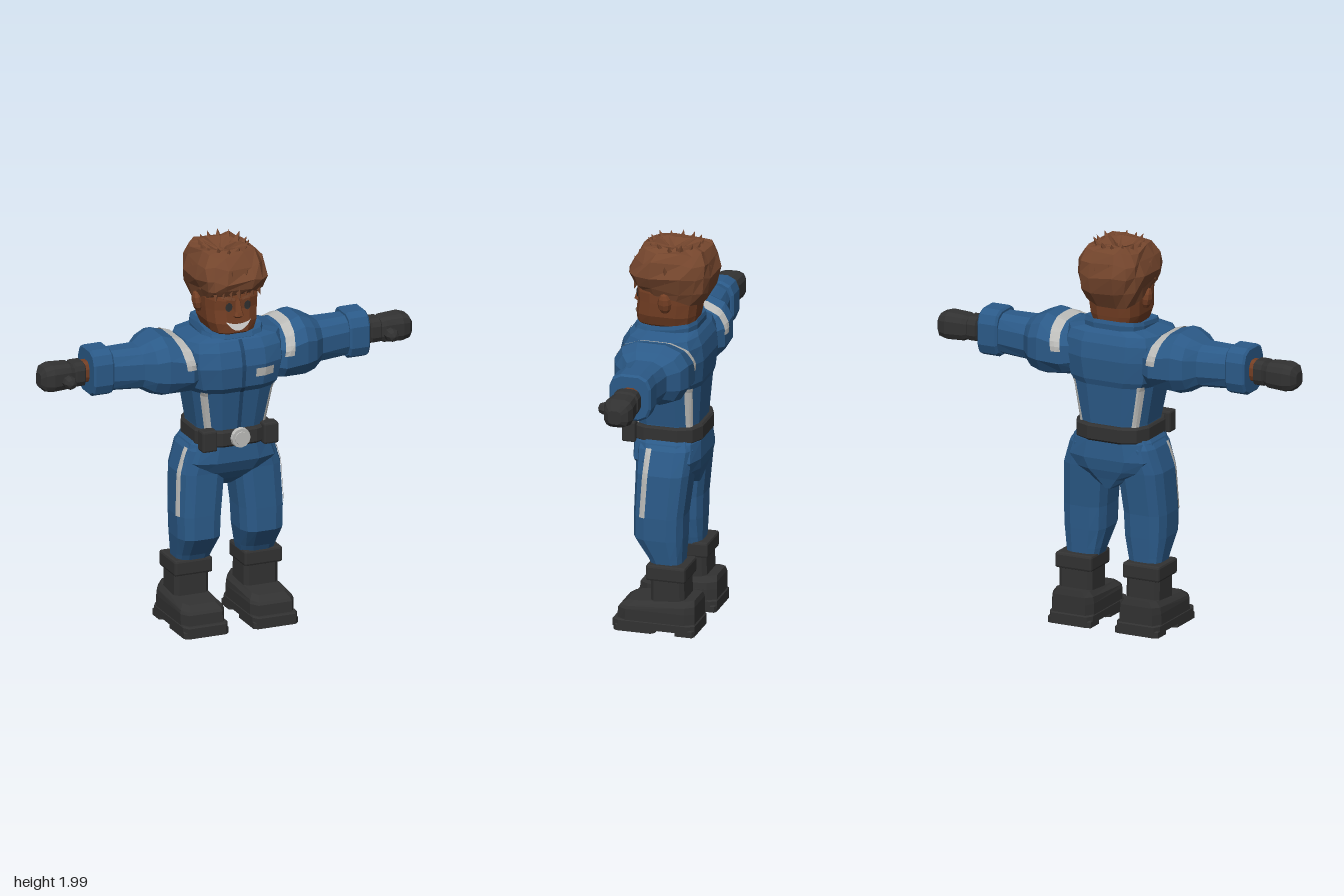
import * as THREE from 'three';
import { RoundedBoxGeometry } from 'three/addons/geometries/RoundedBoxGeometry.js';

const paint = (name, color, side = THREE.FrontSide) => {
  const m = new THREE.MeshStandardMaterial({ color, side });
  m.name = name;
  return m;
};

let seed = 7;
const rand = () => ((seed = (seed * 16807) % 2147483647) / 2147483647) * 2 - 1;

// Faceted copy of a geometry
function facet(geo) {
  const g = geo.index ? geo.toNonIndexed() : geo;
  g.computeVertexNormals();
  return g;
}

// Copy reflected across x = 0, with the corner order restored
function mirror(geo) {
  const g = geo.clone().scale(-1, 1, 1), p = g.attributes.position;
  const a = new THREE.Vector3(), b = new THREE.Vector3();
  for (let i = 0; i < p.count; i += 3) {
    a.fromBufferAttribute(p, i + 1);
    b.fromBufferAttribute(p, i + 2);
    p.setXYZ(i + 1, b.x, b.y, b.z);
    p.setXYZ(i + 2, a.x, a.y, a.z);
  }
  g.computeVertexNormals();
  return g;
}

// Upright loft; each section is [y, centre x, half width, back z, front z, tilt]
function loft(sections, n = 12, pow = 0.6, jitter = 0) {
  const pos = [], idx = [], k = 1 / Math.cos(Math.PI / n) ** pow;
  const bend = v => Math.sign(v) * Math.abs(v) ** pow * k;
  for (const [y, cx, hx, z0, z1, tilt = 0] of sections) {
    for (let j = 0; j < n; j++) {
      const t = ((j + 0.5) / n) * Math.PI * 2;
      const z = (z0 + z1) / 2 + bend(Math.sin(t)) * (z1 - z0) / 2;
      pos.push(cx + bend(Math.cos(t)) * hx + rand() * jitter, y + tilt * z + rand() * jitter, z + rand() * jitter);
    }
  }
  const last = sections.length - 1;
  for (let i = 0; i < last; i++) for (let j = 0; j < n; j++) {
    const a = i * n + j, b = i * n + (j + 1) % n;
    idx.push(a, a + n, b, b, a + n, b + n);
  }
  [0, last].forEach((s, top) => {
    const [y, cx, , z0, z1, tilt = 0] = sections[s], c = pos.length / 3, z = (z0 + z1) / 2;
    pos.push(cx, y + tilt * z, z);
    for (let j = 0; j < n; j++) {
      const a = s * n + j, b = s * n + (j + 1) % n;
      idx.push(c, top ? b : a, top ? a : b);
    }
  });
  const g = new THREE.BufferGeometry();
  g.setAttribute('position', new THREE.Float32BufferAttribute(pos, 3));
  g.setIndex(idx);
  return facet(g);
}

// Sideways loft toward +x; each section is [x, centre y, half height, back z, front z]
const armLoft = (sections, pow = 0.75) =>
  loft(sections.map(([x, cy, ...rest]) => [x, -cy, ...rest]), 12, pow).rotateZ(-Math.PI / 2);

// Thin patch laid on the targets by casting a grid of rays
function decal(targets, nu, nv, ray, lift = 0.006) {
  const g = new THREE.PlaneGeometry(1, 1, nu, nv), p = g.attributes.position, caster = new THREE.Raycaster();
  const point = new THREE.Vector3();
  for (let i = 0; i < p.count; i++) {
    const [o, d] = ray(p.getX(i) + 0.5, p.getY(i) + 0.5);
    const dir = new THREE.Vector3(...d).normalize();
    caster.set(new THREE.Vector3(...o), dir);
    const hit = caster.intersectObjects(targets, false)[0];
    if (hit) point.copy(hit.point).addScaledVector(dir, -lift);
    p.setXYZ(i, point.x, point.y, point.z);
  }
  return facet(g);
}
const mix = THREE.MathUtils.lerp;

export function createModel() {
  const root = new THREE.Group();
  root.name = 'suitedFigure';
  const blue = paint('suitBlue', 0x2b5a88), seam = paint('seamBlue', 0x1f456b, THREE.DoubleSide);
  const black = paint('bootBlack', 0x323232, THREE.DoubleSide), skin = paint('skinBrown', 0x743f24);
  const hairMat = paint('hairBrown', 0x75462d, THREE.DoubleSide);
  const silver = paint('reflectiveGrey', 0xbdbdba, THREE.DoubleSide), white = paint('teethWhite', 0xe6e6e4, THREE.DoubleSide);

  const add = (name, geo, mat) => {
    const m = new THREE.Mesh(geo, mat);
    m.name = name;
    root.add(m);
    return m;
  };
  const pair = (name, geo, mat) => {
    const g = facet(geo);
    add(name + 'Right', mirror(g), mat);
    return add(name + 'Left', g, mat);
  };

  // Jacket, collar and hips
  const torso = add('torso', loft([
    [0.98, 0, 0.18, -0.16, 0.15], [1.06, 0, 0.185, -0.165, 0.165], [1.26, 0, 0.22, -0.18, 0.2],
    [1.29, 0, 0.24, -0.19, 0.222], [1.4, 0, 0.265, -0.2, 0.235], [1.48, 0, 0.265, -0.19, 0.215],
    [1.525, 0, 0.25, -0.17, 0.185], [1.55, 0, 0.15, -0.15, 0.15]]), blue);
  add('collar', loft([[1.5, 0, 0.16, -0.15, 0.17, -0.1], [1.555, 0, 0.165, -0.155, 0.175, -0.12],
    [1.575, 0, 0.16, -0.15, 0.165, -0.12], [1.55, 0, 0.12, -0.12, 0.13, -0.12]]), blue);
  const hips = add('hips', loft([
    [0.722, 0, 0.03, -0.145, 0.03], [0.775, 0, 0.12, -0.16, 0.1], [0.82, 0, 0.2, -0.175, 0.135],
    [0.88, 0, 0.25, -0.185, 0.165], [0.97, 0, 0.215, -0.18, 0.165], [1.0, 0, 0.19, -0.17, 0.16]]), blue);

  // Belt, pouches and round buckle
  add('belt', loft([[0.97, 0, 0.195, -0.18, 0.18], [0.98, 0, 0.202, -0.188, 0.188],
    [1.045, 0, 0.202, -0.188, 0.188], [1.055, 0, 0.195, -0.18, 0.18]]), black);
  pair('beltPouch', new RoundedBoxGeometry(0.08, 0.11, 0.07, 1, 0.01).translate(0.165, 1.015, 0.165), black);
  const disc = (r, z, d) => facet(new THREE.CylinderGeometry(r * 0.93, r, d, 12).rotateX(Math.PI / 2).translate(0, 1.015, z));
  add('buckle', disc(0.053, 0.195, 0.02), silver);
  add('buckleFace', disc(0.036, 0.205, 0.008), silver);

  // Legs
  const leg = pair('leg', loft([
    [0.33, 0.175, 0.085, -0.115, 0.035], [0.38, 0.172, 0.095, -0.117, 0.06], [0.48, 0.168, 0.113, -0.122, 0.13],
    [0.6, 0.167, 0.118, -0.125, 0.13], [0.82, 0.15, 0.124, -0.15, 0.125], [0.94, 0.12, 0.115, -0.16, 0.13],
    [1.0, 0.1, 0.09, -0.14, 0.12]]), blue);

  // Boots
  pair('bootCuff', new RoundedBoxGeometry(0.205, 0.082, 0.205, 1, 0.012).translate(0.188, 0.313, -0.052), black);
  pair('bootShaft', loft([[0.12, 0.187, 0.092, -0.145, 0.03], [0.29, 0.187, 0.092, -0.14, 0.03]], 8, 0.3), black);
  pair('bootFoot', loft([[0.04, 0.187, 0.117, -0.2, 0.2], [0.115, 0.187, 0.117, -0.2, 0.195],
    [0.14, 0.187, 0.112, -0.2, 0.185, -0.06], [0.166, 0.187, 0.09, -0.195, 0.15, -0.08]], 8, 0.3), black);
  const soles = [['bootSole', 0.018, 0.055, -0.205, 0.22], ['soleToe', 0, 0.03, 0, 0.215], ['soleHeel', 0, 0.03, -0.203, -0.1]];
  for (const [name, y0, y1, z0, z1] of soles)
    pair(name, loft([[y0, 0.187, 0.12, z0, z1], [y1, 0.187, 0.12, z0, z1], [y1 + 0.006, 0.187, 0.115, z0 + 0.005, z1 - 0.005]], 8, 0.2), black);

  // Arms, cuffs, wrists and gloves
  const arm = pair('arm', armLoft([
    [0.18, 1.39, 0.11, -0.15, 0.15], [0.25, 1.39, 0.13, -0.195, 0.2], [0.37, 1.405, 0.155, -0.198, 0.185],
    [0.43, 1.4, 0.135, -0.175, 0.16], [0.48, 1.4, 0.108, -0.12, 0.11], [0.65, 1.405, 0.103, -0.1, 0.085]]), blue);
  pair('armCuff', armLoft([[0.635, 1.408, 0.11, -0.108, 0.09], [0.645, 1.408, 0.12, -0.118, 0.096],
    [0.735, 1.408, 0.12, -0.118, 0.096], [0.745, 1.408, 0.11, -0.108, 0.088]], 0.6), blue);
  pair('wrist', armLoft([[0.73, 1.408, 0.055, -0.06, 0.035], [0.8, 1.408, 0.055, -0.06, 0.035]]), skin);
  pair('gloveCuff', armLoft([[0.768, 1.405, 0.055, -0.065, 0.045], [0.775, 1.405, 0.063, -0.078, 0.055],
    [0.82, 1.405, 0.063, -0.078, 0.055], [0.83, 1.405, 0.052, -0.065, 0.045]], 0.6), black);
  pair('gloveHand', armLoft([[0.815, 1.402, 0.05, -0.06, 0.045], [0.85, 1.402, 0.066, -0.08, 0.055],
    [0.94, 1.402, 0.07, -0.088, 0.062], [0.98, 1.4, 0.06, -0.075, 0.048], [1.0, 1.395, 0.035, -0.045, 0.022]], 0.6), black);
  pair('thumb', new THREE.CapsuleGeometry(0.034, 0.06, 2, 8).rotateX(Math.PI / 2).translate(0.868, 1.388, 0.05), black);

  // Reflective strips, zip and chest patch
  pair('shoulderStrip', decal([torso, arm], 2, 24, (u, v) => {
    const a = mix(0.08, Math.PI - 0.08, v), s = Math.sin(a), c = Math.cos(a);
    return [[0.235 + 0.033 * s + 0.05 * u, 1.39 + 0.6 * s, 0.6 * c], [0, -s, -c]];
  }, 0.008), silver);
  for (const s of [1, -1])
    pair(s > 0 ? 'waistStripFront' : 'waistStripBack', decal([torso], 3, 10, (u, v) =>
      [[mix(0.135, 0.172, v) + 0.028 * u, mix(1.05, 1.27, v), s], [0, 0, -s]]), silver);
  pair('legStrip', decal([leg, hips], 2, 12, (u, v) =>
    [[1, mix(0.6, 0.95, v), mix(0.055, 0.035, v) + 0.03 * u], [-1, 0, 0]]), silver);
  add('zip', decal([torso], 2, 16, (u, v) => [[mix(-0.01, 0.01, u), mix(1.05, 1.53, v), 1], [0, 0, -1]], 0.009), seam);
  add('chestPatch', decal([torso], 4, 3, (u, v) => [[mix(0.065, 0.167, u), mix(1.34, 1.385, v), 1], [0, 0, -1]], 0.009), silver);

  // Head, nose and ears
  const head = add('head', loft([
    [1.48, 0, 0.1, -0.12, 0.1], [1.54, 0, 0.09, -0.125, 0.14], [1.56, 0, 0.112, -0.13, 0.165],
    [1.61, 0, 0.132, -0.14, 0.167], [1.68, 0, 0.138, -0.15, 0.158], [1.73, 0, 0.14, -0.155, 0.162],
    [1.82, 0, 0.13, -0.15, 0.145]]), skin);
  add('nose', loft([[1.638, 0, 0.018, 0.13, 0.175], [1.65, 0, 0.026, 0.13, 0.192],
    [1.67, 0, 0.018, 0.13, 0.187], [1.73, 0, 0.011, 0.13, 0.165]], 8), skin);
  pair('ear', new THREE.SphereGeometry(1, 8, 6).scale(0.026, 0.055, 0.036).rotateZ(-0.15).translate(0.148, 1.69, -0.005), skin);

  // Eyes, brows and smile
  pair('eye', decal([head], 4, 6, (u, v) => {
    const h = Math.sqrt(Math.max(0, 1 - (2 * v - 1) ** 2));
    return [[0.05 + (u - 0.5) * 0.036 * h, mix(1.672, 1.722, v), 1], [0, 0, -1]];
  }), black);
  pair('brow', decal([head], 4, 1, (u, v) =>
    [[mix(0.02, 0.088, u), 1.728 + 0.018 * u + 0.014 * v, 1], [0, 0, -1]], 0.008), hairMat);
  add('smile', decal([head], 12, 3, (u, v) => {
    const x = mix(-0.066, 0.066, u), k = (x / 0.066) ** 2;
    return [[x, mix(1.57 + 0.05 * k, 1.607 + 0.015 * k, v), 1], [0, 0, -1]];
  }), white);

  // Tousled hair: a jagged cap with a sunken crown, fringe tufts and upright spikes
  add('hair', loft([
    [1.715, 0, 0.142, -0.165, 0.165, 0.26], [1.765, 0, 0.165, -0.205, 0.185, 0.1], [1.83, 0, 0.178, -0.225, 0.195],
    [1.9, 0, 0.165, -0.215, 0.17], [1.955, 0, 0.14, -0.19, 0.135], [1.965, 0, 0.09, -0.13, 0.08],
    [1.935, 0, 0.025, -0.045, 0.01]], 16, 0.6, 0.011), hairMat);
  const spike = (x, y, z, r, h, tiltX, tiltZ) => {
    const g = new THREE.ConeGeometry(r, h, 4).rotateX(tiltX).rotateZ(tiltZ).translate(x, y, z);
    add('hairTuft', facet(g), hairMat);
  };
  for (let i = 0; i < 14; i++) {
    const a = (i / 14) * Math.PI * 2, c = Math.cos(a), s = Math.sin(a);
    spike(c * 0.105, 1.95 + rand() * 0.008, s * 0.12 - 0.02, 0.034, 0.085, s * 0.5, -c * 0.5);
    spike(c * 0.162, 1.845 + rand() * 0.02, s * 0.185 - 0.015, 0.036, 0.09, s * 0.45, -c * 0.45);
  }
  for (let i = -3; i <= 3; i++)
    spike(i * 0.038, 1.775 + rand() * 0.008, 0.172 - Math.abs(i) * 0.007, 0.028, 0.075, Math.PI - 0.3, i * 0.06);
  return root;
}
